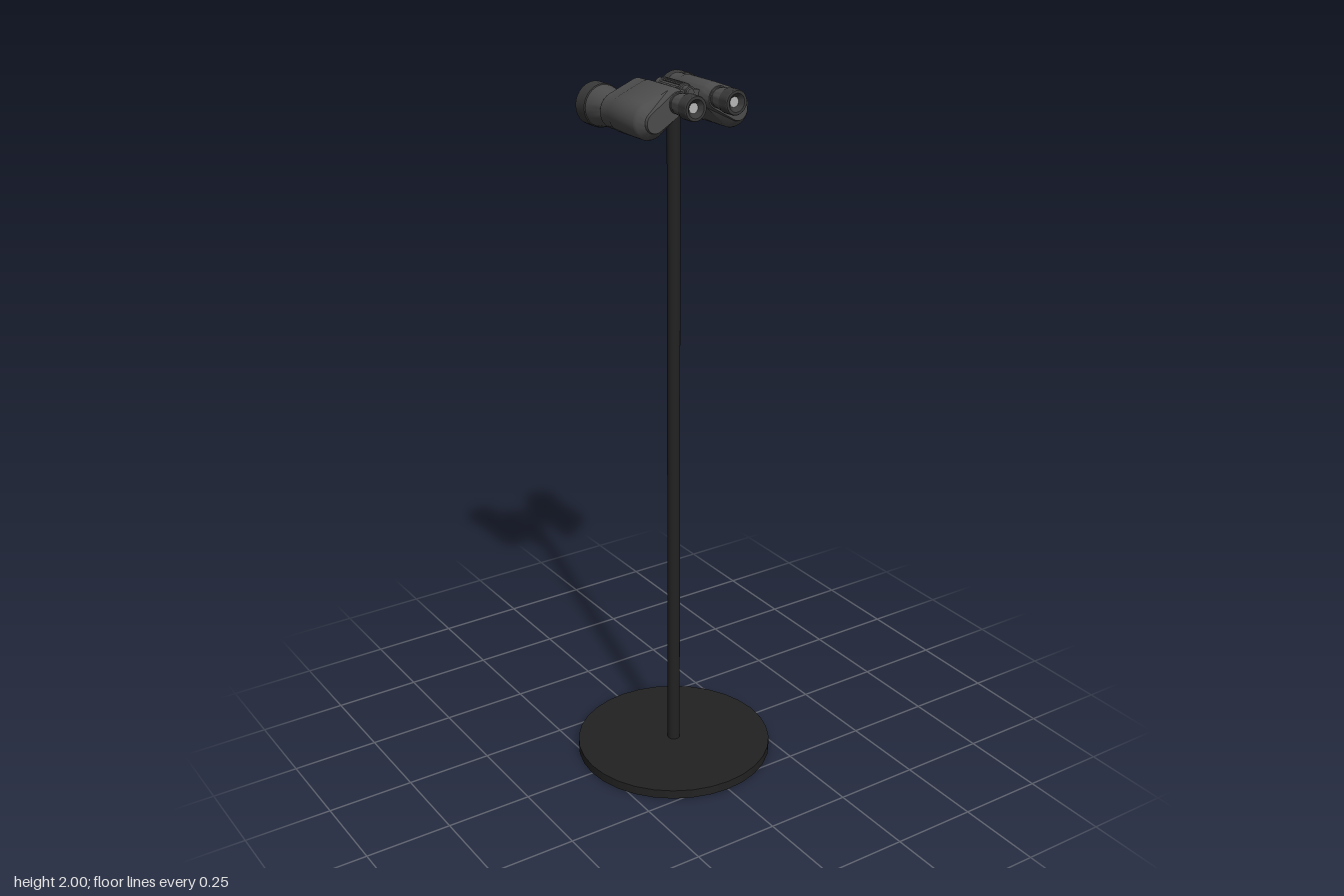
import * as THREE from 'three';
import { toCreasedNormals } from 'three/addons/utils/BufferGeometryUtils.js';

const paint = (color) => new THREE.MeshStandardMaterial({ color });
const stand = paint(0x222222);
const shell = paint(0x4c4c4c);
const rubber = paint(0x393939);
const glass = paint(0xb8b8b8);

// Optical axes of the left half: narrow eyepiece side and wide objective side
const EYE = { x: 0.0625, y: 1.963 };
const OBJ = { x: 0.1285, y: 1.922 };
const HINGE_Y = 1.977;

function add(parent, name, geometry, material, x = 0, y = 0, z = 0) {
  const mesh = new THREE.Mesh(geometry, material);
  mesh.name = name;
  mesh.position.set(x, y, z);
  parent.add(mesh);
  return mesh;
}

// Turned part along z; profile is [radius, z] pairs
function turned(profile, sides = 28) {
  const g = new THREE.LatheGeometry(profile.map(([r, z]) => new THREE.Vector2(r, z)), sides);
  return toCreasedNormals(g.rotateX(Math.PI / 2), 0.5);
}

// Closed outline around two circles, counter-clockwise
function outline(rEye, rObj, side) {
  const dx = OBJ.x - EYE.x, dy = OBJ.y - EYE.y;
  const a = Math.atan2(dy, dx);
  const b = Math.acos((rEye - rObj) / Math.hypot(dx, dy));
  const pts = [];
  const arc = (c, r, from, to) => {
    for (let i = 0; i <= 16; i++) {
      const t = from + (to - from) * i / 16;
      pts.push([side * (c.x + r * Math.cos(t)), c.y + r * Math.sin(t)]);
    }
  };
  arc(OBJ, rObj, a - b, a + b);
  arc(EYE, rEye, a + b, a + 2 * Math.PI - b);
  return side < 0 ? pts.reverse() : pts;
}

// Prism housing lofted through outlines along z
function housing(side) {
  const sections = [
    [-0.077, 0.031, 0.045], [-0.072, 0.034, 0.048], [-0.034, 0.034, 0.048],
    [-0.028, 0.036, 0.05], [0.082, 0.036, 0.05], [0.09, 0.035, 0.046],
    [0.104, 0.031, 0.029], [0.112, 0.03, 0.027],
  ];
  const pos = [], idx = [];
  let n = 0;
  for (const [z, re, ro] of sections) {
    const ring = outline(re, ro, side);
    n = ring.length;
    ring.forEach(([x, y]) => pos.push(x, y, z));
  }
  const last = (sections.length - 1) * n;
  for (let k = 0; k < last; k += n) {
    for (let i = 0; i < n; i++) {
      const a = k + i, b = k + (i + 1) % n;
      idx.push(a, b, b + n, a, b + n, a + n);
    }
  }
  // End caps
  for (let i = 1; i < n - 1; i++) {
    idx.push(0, i + 1, i, last, last + i, last + i + 1);
  }
  const g = new THREE.BufferGeometry();
  g.setAttribute('position', new THREE.Float32BufferAttribute(pos, 3));
  g.setIndex(idx);
  return toCreasedNormals(g, 0.5);
}

function createBarrel(side) {
  const barrel = new THREE.Group();
  barrel.name = side > 0 ? 'leftBarrel' : 'rightBarrel';
  add(barrel, 'prismHousing', housing(side), shell);

  // Objective: flared tube, rubber rim and recessed lens
  const ox = side * OBJ.x, ex = side * EYE.x;
  add(barrel, 'objectiveTube', turned([[0.055, -0.134], [0.055, -0.126], [0.043, -0.083], [0.043, -0.074]]), shell, ox, OBJ.y);
  add(barrel, 'objectiveRim', turned([
    [0.047, -0.166], [0.049, -0.177], [0.056, -0.177], [0.0575, -0.175], [0.0575, -0.134], [0.054, -0.131],
  ]), rubber, ox, OBJ.y);
  add(barrel, 'objectiveLens', new THREE.CircleGeometry(0.0475, 28).rotateY(Math.PI), glass, ox, OBJ.y, -0.168);

  // Eyepiece: neck with a groove, cup and small recessed lens
  add(barrel, 'eyepieceNeck', turned([
    [0.027, 0.108], [0.027, 0.117], [0.0255, 0.118], [0.0255, 0.121], [0.027, 0.122],
    [0.0275, 0.13], [0.0315, 0.153], [0.0315, 0.158],
  ]), shell, ex, EYE.y);
  add(barrel, 'eyeCup', turned([
    [0.0315, 0.155], [0.033, 0.157], [0.033, 0.187], [0.031, 0.19], [0.024, 0.19], [0.013, 0.178],
  ]), rubber, ex, EYE.y);
  add(barrel, 'eyeLens', new THREE.CircleGeometry(0.0135, 20), glass, ex, EYE.y, 0.1785);
  return barrel;
}

function createHinge() {
  const hinge = new THREE.Group();
  hinge.name = 'hinge';
  hinge.position.y = HINGE_Y;
  add(hinge, 'hingePin', turned([
    [0, -0.064], [0.01, -0.064], [0.012, -0.061], [0.012, 0.077], [0.01, 0.08], [0, 0.08],
  ], 20), shell);
  add(hinge, 'focusWheel', turned([
    [0, -0.041], [0.019, -0.041], [0.0205, -0.039], [0.0205, -0.032], [0.0175, -0.03],
    [0.0175, 0.046], [0.0205, 0.048], [0.0205, 0.054], [0.019, 0.056], [0, 0.056],
  ], 24), shell);
  // Grip ribs around the wheel
  for (let i = 0; i < 12; i++) {
    const a = i * Math.PI / 6;
    const rib = add(hinge, 'wheelRib', new THREE.BoxGeometry(0.004, 0.006, 0.078), shell,
      0.0175 * Math.sin(a), 0.0175 * Math.cos(a), 0.008);
    rib.rotation.z = -a;
  }
  // Arms and collars joining both barrels
  for (const z of [-0.052, 0.067]) {
    add(hinge, 'hingeCollar', turned([[0, -0.008], [0.016, -0.008], [0.016, 0.008], [0, 0.008]], 20), shell, 0, 0, z);
    for (const s of [1, -1]) {
      const arm = add(hinge, 'hingeArm', new THREE.BoxGeometry(0.04, 0.018, 0.013), shell, s * 0.021, -0.004, z);
      arm.rotation.z = -s * 0.22;
    }
  }
  return hinge;
}

export function createModel() {
  const model = new THREE.Group();
  model.name = 'binocularsOnStand';

  // Stand
  add(model, 'base', new THREE.CylinderGeometry(0.285, 0.285, 0.026, 32), stand, 0, 0.013);
  add(model, 'pole', new THREE.CylinderGeometry(0.018, 0.018, 1.94, 24), stand, 0, 0.99);

  // Binoculars, turned slightly on the pole
  const binoculars = new THREE.Group();
  binoculars.name = 'binoculars';
  binoculars.position.x = -0.002;
  binoculars.rotation.y = 0.024;
  binoculars.add(createBarrel(1), createBarrel(-1), createHinge());
  model.add(binoculars);
  return model;
}
